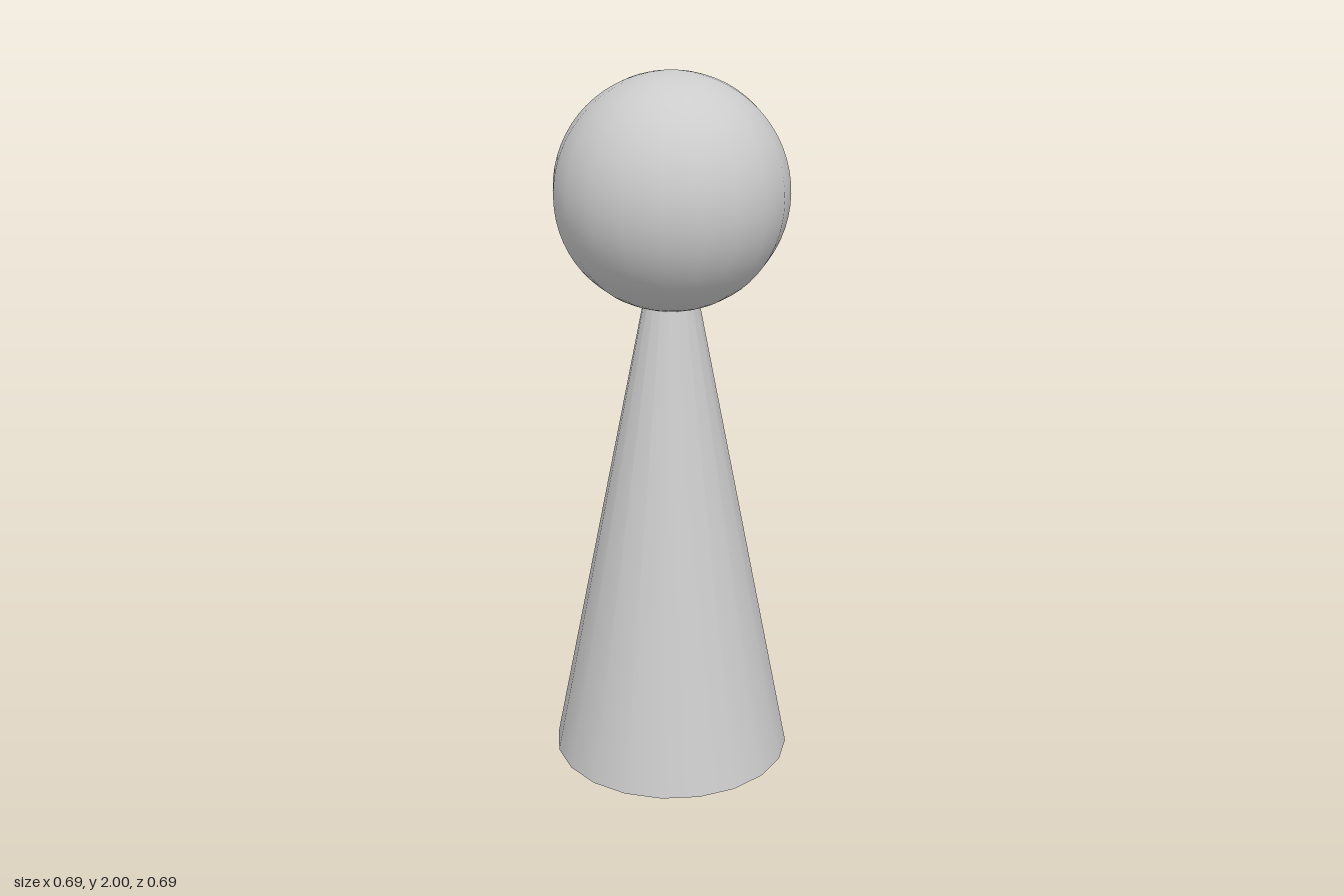
import * as THREE from 'three';

const SIDES = 20;
const BASE_RADIUS = 0.347;
const CONE_HEIGHT = 1.77;
const HEAD_RADIUS = 0.323;

export function createModel() {
  const group = new THREE.Group();
  group.name = 'pawn';
  const material = new THREE.MeshStandardMaterial({ color: 0xcccccc });

  const add = (name, geometry, y) => {
    const mesh = new THREE.Mesh(geometry, material);
    mesh.name = name;
    mesh.position.y = y;
    group.add(mesh);
  };

  // Closed cone whose tip is buried in the head
  add('body', new THREE.ConeGeometry(BASE_RADIUS, CONE_HEIGHT, SIDES), CONE_HEIGHT / 2);

  // Ball head resting on the narrow neck of the cone
  add('head', new THREE.SphereGeometry(HEAD_RADIUS, SIDES, 32), 2 - HEAD_RADIUS);

  return group;
}
